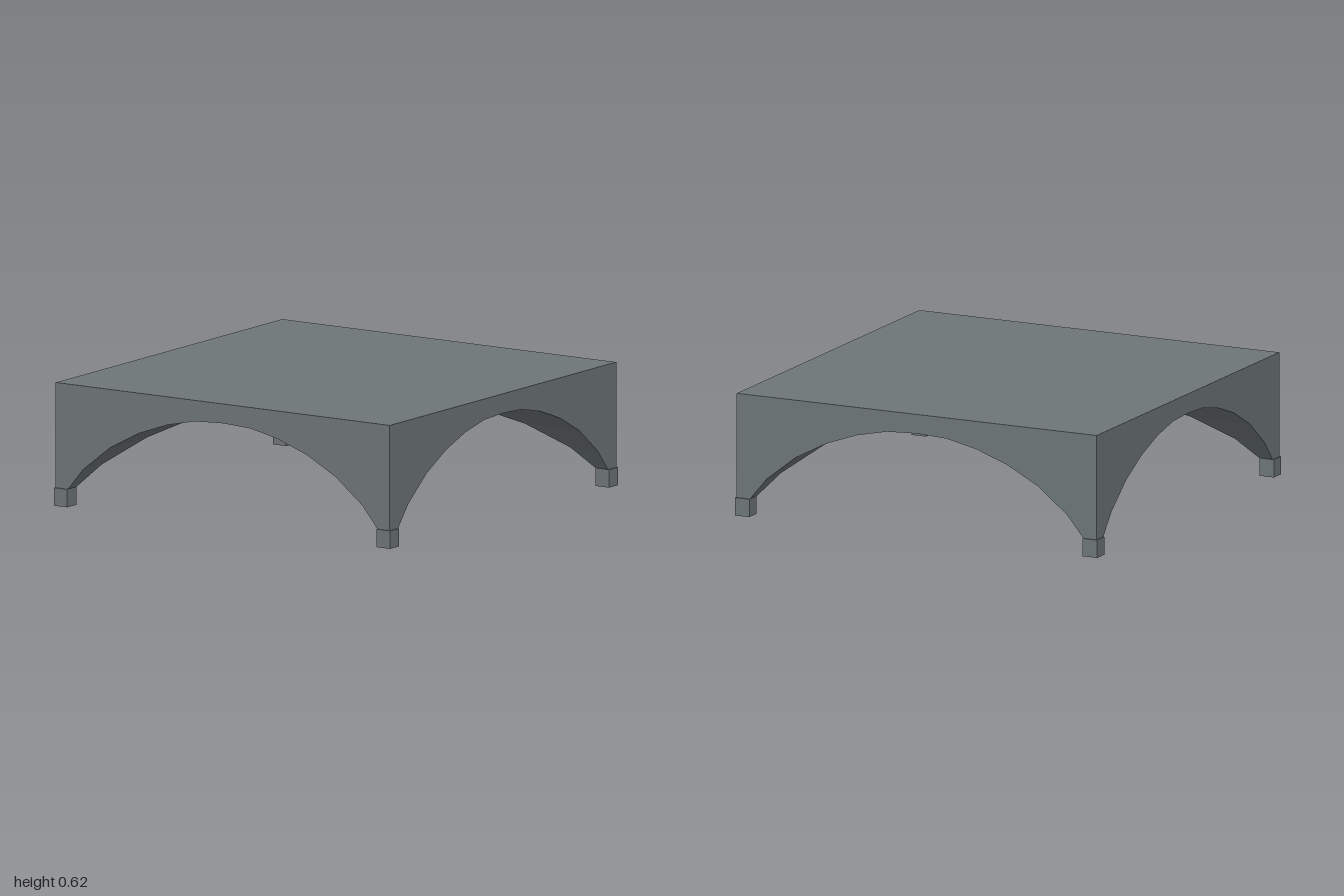
import * as THREE from 'three';

const HALF = 0.993, TOP = 0.617, FOOT = 0.08, SPRING = 0.09;

// Half of the arch outline, from crown to springing
const halfArch = [[0, 0.52], [0.165, 0.512], [0.33, 0.476], [0.5, 0.415], [0.67, 0.325], [0.83, 0.198], [0.92, SPRING]];
const arch = [...halfArch.slice(1).reverse().map(([x, y]) => [-x, y]), ...halfArch];

// Faceted shading with separate normals per face
function faceted(geometry) {
  const g = geometry.index ? geometry.toNonIndexed() : geometry;
  g.computeVertexNormals();
  return g;
}

// Wall face above the arch, in the z = HALF plane
function wallGeometry() {
  const outline = [[-HALF, TOP], [-HALF, SPRING], ...arch, [HALF, SPRING], [HALF, TOP]];
  const shape = new THREE.Shape(outline.map(([x, y]) => new THREE.Vector2(x, y)));
  return new THREE.ShapeGeometry(shape).translate(0, 0, HALF);
}

// One quarter of the groin vault: strips running from the diagonals to the wall
function webGeometry() {
  const positions = [];
  for (let i = 0; i < arch.length - 1; i++) {
    const [x0, y0] = arch[i], [x1, y1] = arch[i + 1];
    const a = [x0, y0, Math.abs(x0)], b = [x1, y1, Math.abs(x1)];
    const c = [x1, y1, HALF], d = [x0, y0, HALF];
    positions.push(...a, ...b, ...c, ...a, ...c, ...d);
  }
  const g = new THREE.BufferGeometry();
  g.setAttribute('position', new THREE.Float32BufferAttribute(positions, 3));
  return faceted(g);
}

function turned(points) {
  return faceted(new THREE.LatheGeometry(points.map(([r, y]) => new THREE.Vector2(r, y)), 8));
}

export function createModel() {
  const model = new THREE.Group();
  model.name = 'groinVault';
  const stone = new THREE.MeshStandardMaterial({ color: 0x6d7577 });
  stone.name = 'grey stone';

  const add = (name, geometry, parent = model) => {
    const mesh = new THREE.Mesh(geometry, stone);
    mesh.name = name;
    parent.add(mesh);
    return mesh;
  };

  // Flat roof
  add('roof', new THREE.PlaneGeometry(2 * HALF, 2 * HALF).rotateX(-Math.PI / 2).translate(0, TOP, 0));

  // Four identical bays, each with a wall, a vault web and a corner foot
  const wall = wallGeometry(), web = webGeometry();
  const foot = new THREE.BoxGeometry(FOOT, SPRING, FOOT);
  for (let i = 0; i < 4; i++) {
    const bay = new THREE.Group();
    bay.name = 'bay' + (i + 1);
    bay.rotation.y = i * Math.PI / 2;
    add('archWall', wall, bay);
    add('vaultWeb', web, bay);
    add('foot', foot, bay).position.set(1 - FOOT / 2, SPRING / 2, 1 - FOOT / 2);
    model.add(bay);
  }

  // Octagonal boss hanging from the crown, with a small pendant
  add('boss', turned([[0, 0.41], [0.07, 0.41], [0.107, 0.43], [0.132, 0.48], [0.115, 0.517], [0, 0.525]]));
  add('pendant', turned([[0, 0.39], [0.052, 0.39], [0.052, 0.413], [0, 0.413]]));

  return model;
}
